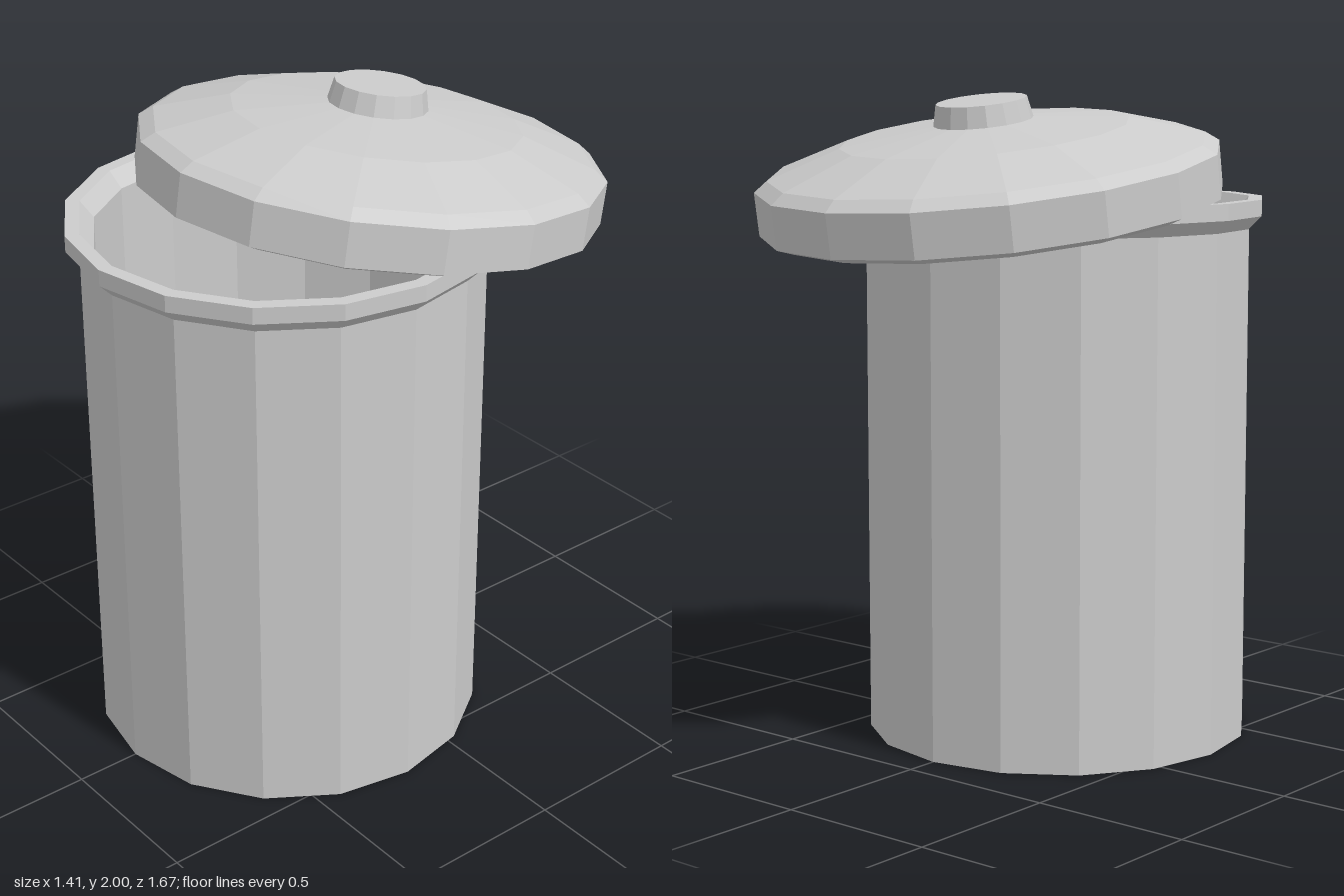
import * as THREE from 'three';

const SIDES = 16;

// Faceted part turned from [radius, height] pairs, running from the underside outwards and up
function turned(name, profile, material) {
  const points = profile.map(([r, y]) => new THREE.Vector2(r, y));
  const mesh = new THREE.Mesh(new THREE.LatheGeometry(points, SIDES), material);
  mesh.name = name;
  return mesh;
}

export function createModel() {
  const material = new THREE.MeshStandardMaterial({ color: 0xcccccc, flatShading: true });
  const model = new THREE.Group();
  model.name = 'trashCan';

  // Hollow can with a flared rim, standing forward of the centre
  const can = turned('can', [
    [0, 0], [0.6, 0], [0.6, 1.59],
    [0.64, 1.63], [0.64, 1.68], [0.597, 1.68],
    [0.557, 1.63], [0.557, 0.04], [0, 0.04],
  ], material);
  can.position.z = 0.2;
  model.add(can);

  // Lid slid back and tipped down behind the can
  const lid = new THREE.Group();
  lid.name = 'lid';
  lid.position.set(0, 1.654, -0.119);
  lid.rotation.x = -0.155;

  // Shallow hollow dome with a thick bevelled edge
  lid.add(turned('lidDome', [
    [0, 0.235], [0.42, 0.19], [0.615, 0.13], [0.615, 0.01],
    [0.651, -0.021], [0.703, 0], [0.703, 0.132],
    [0.662, 0.162], [0.437, 0.234], [0, 0.285],
  ], material));

  // Tapered knob
  lid.add(turned('knob', [
    [0, 0.26], [0.152, 0.26], [0.137, 0.331], [0, 0.331],
  ], material));
  model.add(lid);

  return model;
}
